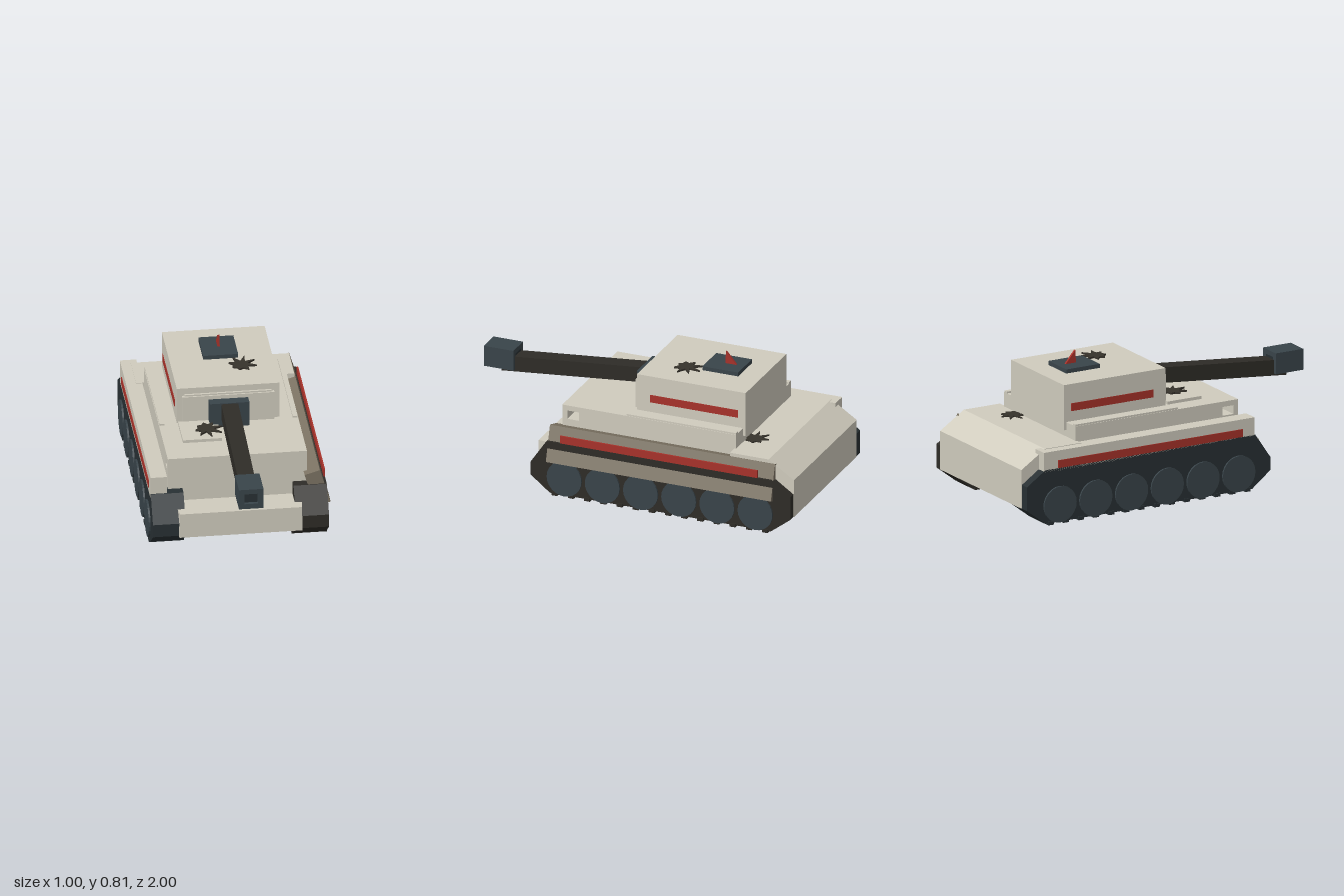
import * as THREE from 'three';

const mat = (color) => new THREE.MeshStandardMaterial({ color, flatShading: true });
const CREAM = mat(0xd0ccbe), DARK = mat(0x2e2c27), BLUEDARK = mat(0x283033), SLATE = mat(0x39444a);
const TAUPE = mat(0x7c7363), RED = mat(0xa8322a), SOOT = mat(0x37332c);

export function createModel() {
  const tank = new THREE.Group();
  tank.name = 'tank';

  const add = (name, geometry, material, parent = tank) => {
    const mesh = new THREE.Mesh(geometry, material);
    mesh.name = name;
    parent.add(mesh);
    return mesh;
  };
  // Box given by its limits on each axis
  const box = (name, material, x0, x1, y0, y1, z0, z1, parent) => {
    const g = new THREE.BoxGeometry(x1 - x0, y1 - y0, z1 - z0);
    const mesh = add(name, g, material, parent);
    mesh.position.set((x0 + x1) / 2, (y0 + y1) / 2, (z0 + z1) / 2);
    return mesh;
  };
  const toPoints = (list) => list.map(([a, b]) => new THREE.Vector2(a, b));
  // Side profile of (z, y) points, extruded from x0 to x1
  const profile = (name, material, points, x0, x1, hole) => {
    const shape = new THREE.Shape(toPoints(points));
    if (hole) shape.holes.push(new THREE.Path(toPoints(hole)));
    const g = new THREE.ExtrudeGeometry(shape, { depth: x1 - x0, bevelEnabled: false });
    g.rotateY(-Math.PI / 2).translate(x1, 0, 0);
    return add(name, g, material);
  };

  // Hull: middle body with an opening through the front sides, wider sloped rear
  profile('hull', CREAM, [[0.4, 0.095], [0.4, 0.5], [-0.63, 0.5], [-0.63, 0.095]], -0.39, 0.375,
    [[0.3, 0.42], [0.37, 0.42], [0.37, 0.47], [0.3, 0.47]]);
  profile('rearHull', CREAM,
    [[-0.62, 0.095], [-0.62, 0.418], [-0.85, 0.418], [-1, 0.32], [-1, 0.1]], -0.435, 0.435);

  // Bow: box narrowing toward the front
  const bow = box('bow', CREAM, -0.36, 0.345, 0.095, 0.24, 0.39, 0.56);
  const bowPos = bow.geometry.attributes.position;
  for (let i = 0; i < bowPos.count; i++) {
    if (bowPos.getZ(i) > 0 && bowPos.getY(i) > 0) bowPos.setX(i, bowPos.getX(i) * 0.95);
    else if (bowPos.getZ(i) > 0) bowPos.setX(i, bowPos.getX(i) * 0.96);
  }
  bow.geometry.computeVertexNormals();

  // Underside blocks
  for (const x of [-0.215, -0.142]) {
    box('undersideBlock', DARK, x - 0.018, x + 0.018, 0.085, 0.1, 0.27, 0.32);
  }

  // Tracks, wheels and cleats
  const trackLine = [[0.45, 0.315], [-0.88, 0.315], [-0.997, 0.235], [-0.997, 0.1],
    [-0.88, 0.01], [0.43, 0.01], [0.545, 0.1], [0.545, 0.175]];
  const sides = [
    { name: 'left', x0: 0.295, x1: 0.478, outer: 0.478, material: DARK },
    { name: 'right', x0: -0.31, x1: -0.49, outer: -0.49, material: BLUEDARK },
  ];
  for (const s of sides) {
    const lo = Math.min(s.x0, s.x1), hi = Math.max(s.x0, s.x1);
    profile(s.name + 'Track', s.material, trackLine, lo, hi);
    for (let i = 0; i < 6; i++) {
      const g = new THREE.CylinderGeometry(0.103, 0.103, 0.02, 24).rotateZ(Math.PI / 2);
      const wheel = add(s.name + 'Wheel', g, SLATE);
      wheel.position.set(s.outer, 0.11, 0.342 - i * 0.2265);
    }
    for (let i = 0; i < 14; i++) {
      const z = 0.4 - i * 0.096;
      box(s.name + 'Cleat', s.material, lo - 0.006, hi + 0.006, 0, 0.02, z - 0.017, z + 0.017);
    }
  }

  // Fenders: straight on the right, loose and leaning on the left
  box('rightFender', CREAM, -0.49, -0.4, 0.285, 0.415, -0.89, 0.445);
  const skirt = box('leftFender', TAUPE, -0.044, 0.044, -0.104, 0.104, -0.89, 0.445);
  skirt.position.set(0.428, 0.287, -0.2225);
  skirt.rotation.z = 0.287;
  box('leftHullStripe', RED, 0.47, 0.479, 0.316, 0.36, -0.8, 0.37);
  box('rightHullStripe', RED, -0.494, -0.486, 0.316, 0.36, -0.8, 0.37);

  // Raised rails on the hull roof and the driver hatch
  box('leftRail', CREAM, 0.345, 0.372, 0.49, 0.51, -0.63, 0.02);
  box('rightRail', CREAM, -0.387, -0.36, 0.49, 0.51, -0.63, 0.02);
  box('driverHatch', CREAM, -0.285, -0.07, 0.49, 0.517, 0.015, 0.23);

  // Turret
  const turret = new THREE.Group();
  turret.name = 'turret';
  tank.add(turret);
  box('turretBody', CREAM, -0.29, 0.275, 0.455, 0.712, -0.645, 0, turret);
  box('turretFrontPlate', CREAM, -0.262, 0.245, 0.49, 0.667, -0.01, 0.02, turret);
  box('turretBrow', CREAM, -0.247, 0.23, 0.667, 0.676, -0.01, 0.012, turret);
  box('leftTurretStripe', RED, 0.27, 0.278, 0.558, 0.602, -0.6, -0.08, turret);
  box('rightTurretStripe', RED, -0.293, -0.285, 0.558, 0.602, -0.6, -0.08, turret);
  box('commanderHatch', SLATE, -0.105, 0.087, 0.705, 0.735, -0.52, -0.308, turret);
  profile('hatchFin', RED, [[-0.405, 0.73], [-0.41, 0.805], [-0.475, 0.73]], -0.015, -0.002);

  // Gun: mantlet, drooping square barrel, muzzle with a recessed mouth
  box('mantlet', SLATE, -0.117, 0.1, 0.495, 0.645, 0.01, 0.075);
  const barrel = box('barrel', DARK, -0.055, 0.038, -0.044, 0.044, -0.44, 0.44);
  barrel.position.set(-0.008, 0.56, 0.47);
  barrel.rotation.x = 0.092;
  const muzzleShape = new THREE.Shape(toPoints(
    [[-0.075, 0.495], [0.06, 0.495], [0.06, 0.614], [-0.075, 0.614]]));
  muzzleShape.holes.push(new THREE.Path(toPoints(
    [[-0.046, 0.525], [-0.046, 0.586], [0.03, 0.586], [0.03, 0.525]])));
  const muzzle = add('muzzle', new THREE.ExtrudeGeometry(muzzleShape,
    { depth: 0.175, bevelEnabled: false }), SLATE);
  muzzle.position.z = 0.825;
  box('muzzleMouth', BLUEDARK, -0.05, 0.035, 0.52, 0.59, 0.826, 0.98);

  // Blast marks: thin jagged stars
  const blastMark = (x, y, z, turn, seed) => {
    const points = [];
    for (let i = 0; i < 16; i++) {
      const wobble = 0.5 + 0.5 * Math.sin(seed + i * 2.7);
      const r = i % 2 ? 0.032 + 0.016 * wobble : 0.06 + 0.032 * wobble;
      const a = turn + (i / 16) * Math.PI * 2;
      points.push([r * Math.cos(a), r * Math.sin(a)]);
    }
    const g = new THREE.ExtrudeGeometry(new THREE.Shape(toPoints(points)),
      { depth: 0.01, bevelEnabled: false });
    add('blastMark', g.rotateX(-Math.PI / 2), SOOT).position.set(x, y, z);
  };
  blastMark(-0.14, 0.52, 0.13, 0.2, 1);
  blastMark(0.095, 0.714, -0.22, 0.5, 2.5);
  blastMark(0.21, 0.415, -0.675, 0.9, 4);

  return tank;
}
